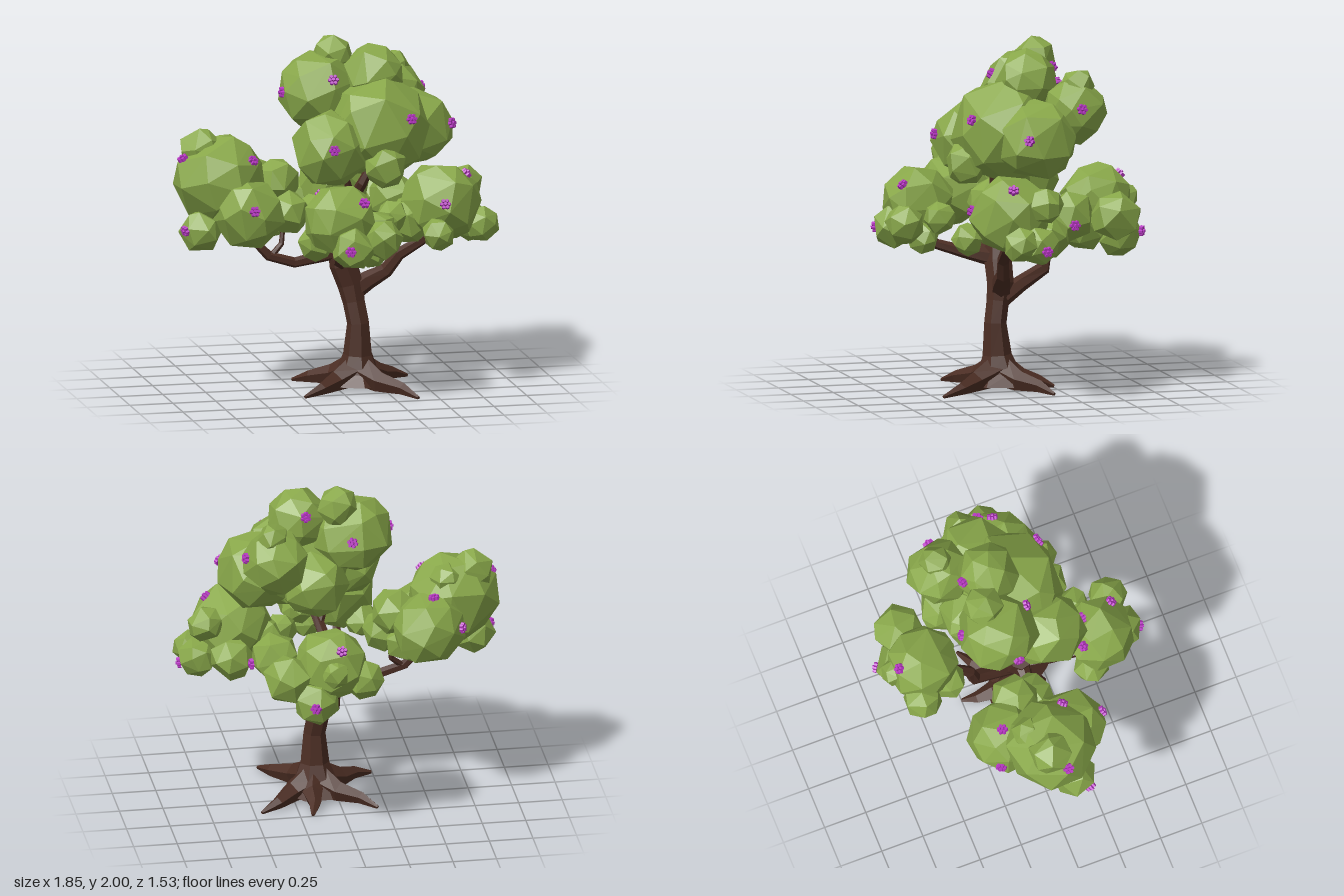
import * as THREE from 'three';
import { mergeGeometries } from 'three/addons/utils/BufferGeometryUtils.js';
import { ConvexGeometry } from 'three/addons/geometries/ConvexGeometry.js';

const bark = new THREE.MeshStandardMaterial({ color: 0x4b2d23, flatShading: true });
bark.name = 'bark brown';
const leaf = new THREE.MeshStandardMaterial({ color: 0x89a84a, flatShading: true });
leaf.name = 'leaf green';
const petal = new THREE.MeshStandardMaterial({ color: 0xb838c4, flatShading: true });
petal.name = 'petal magenta';

// small seeded generator
function seeded(seed) {
  let s = seed * 7919 + 13;
  return () => {
    s = (s * 16807) % 2147483647;
    return s / 2147483647;
  };
}

// tapered limb through rings given as [x, y, z, radius]
function limb(rings, sides = 6) {
  const pts = rings.map((r) => new THREE.Vector3(r[0], r[1], r[2]));
  const n = pts.length;
  const dir = pts[n - 1].clone().sub(pts[0]);
  const ref = Math.abs(dir.y) > Math.hypot(dir.x, dir.z)
    ? new THREE.Vector3(0, 0, 1) : new THREE.Vector3(0, 1, 0);
  const pos = [], idx = [];
  pts.forEach((p, i) => {
    const t = pts[Math.min(i + 1, n - 1)].clone().sub(pts[Math.max(i - 1, 0)]).normalize();
    const u = ref.clone().addScaledVector(t, -ref.dot(t)).normalize();
    const v = t.clone().cross(u);
    for (let j = 0; j < sides; j++) {
      const a = (j / sides) * Math.PI * 2;
      const q = p.clone().addScaledVector(u, Math.cos(a) * rings[i][3]).addScaledVector(v, Math.sin(a) * rings[i][3]);
      pos.push(q.x, Math.max(q.y, 0), q.z);
    }
  });
  for (let j = 0; j < sides; j++) {
    const k = (j + 1) % sides;
    for (let i = 0; i < n - 1; i++) {
      const a = i * sides, b = a + sides;
      idx.push(a + j, a + k, b + k, a + j, b + k, b + j);
    }
    if (j > 0 && j < sides - 1) {
      const e = (n - 1) * sides;
      idx.push(0, k, j, e, e + j, e + k);
    }
  }
  const g = new THREE.BufferGeometry();
  g.setAttribute('position', new THREE.Float32BufferAttribute(pos, 3));
  g.setIndex(idx);
  const flat = g.toNonIndexed();
  flat.computeVertexNormals();
  return flat;
}

// irregular leaf ball with broad facets
function leafBall(x, y, z, r, seed) {
  const rand = seeded(seed);
  const count = r > 0.15 ? 26 : 18;
  const pts = [];
  for (let i = 0; i < count; i++) {
    const h = 1 - (2 * i + 1) / count;
    const a = i * 2.39996;
    const w = Math.sqrt(1 - h * h);
    const p = new THREE.Vector3(w * Math.cos(a), h, w * Math.sin(a));
    p.x += (rand() - 0.5) * 0.3;
    p.y += (rand() - 0.5) * 0.3;
    p.z += (rand() - 0.5) * 0.3;
    pts.push(p.setLength(1.03 + rand() * 0.07));
  }
  return new ConvexGeometry(pts).rotateX(rand() * 6).rotateY(rand() * 6).scale(r, r, r).translate(x, y, z);
}

// each cluster: leaf balls [x, y, z, r], then flowers [x, y, z, ball index]
const clusters = {
  crownFoliage: {
    balls: [[0.23, 1.5, 0.06, 0.29], [-0.07, 1.69, -0.13, 0.22], [0.4, 1.62, -0.3, 0.18],
      [0.47, 1.47, -0.06, 0.22], [-0.07, 1.41, 0.17, 0.21], [0.24, 1.78, -0.07, 0.17],
      [0.03, 1.88, -0.18, 0.115], [0.23, 1.32, 0.28, 0.12], [0.42, 1.77, -0.32, 0.09], [0.16, 1.42, -0.18, 0.19]],
    flowers: [[0.385, 1.59, 0.3, 0], [-0.02, 1.785, 0.06, 1], [-0.29, 1.7, -0.08, 1], [0.56, 1.65, -0.3, 2],
      [0.68, 1.5, 0.04, 3], [-0.09, 1.445, 0.38, 4], [0.22, 1.85, -0.23, 5], [-0.03, 1.72, -0.36, 1]],
  },
  rightFoliage: {
    balls: [[-0.66, 1.22, -0.04, 0.25], [-0.53, 1.06, 0.13, 0.2], [-0.48, 1.12, -0.25, 0.2],
      [-0.79, 0.95, 0.06, 0.12], [-0.76, 1.39, -0.08, 0.12], [-0.6, 1.37, -0.15, 0.09],
      [-0.31, 1.18, -0.12, 0.13], [-0.27, 1.02, 0, 0.12], [-0.38, 0.98, -0.1, 0.12]],
    flowers: [[-0.495, 1.35, 0.1, 0], [-0.865, 1.345, -0.015, 0], [-0.54, 1.1, 0.32, 1],
      [-0.51, 1.3, -0.27, 2], [-0.67, 1.15, -0.34, 2], [-0.9, 0.97, 0.12, 3]],
  },
  frontFoliage: {
    balls: [[-0.08, 1.06, 0.48, 0.2], [0.14, 0.97, 0.62, 0.11], [-0.04, 0.93, 0.63, 0.12],
      [0.16, 1.0, 0.42, 0.09], [-0.2, 0.92, 0.39, 0.1], [0.1, 0.88, 0.5, 0.09]],
    flowers: [[0.045, 1.19, 0.61, 0], [-0.08, 0.93, 0.74, 2], [-0.17, 1.2, 0.35, 0]],
  },
  leftFoliage: {
    balls: [[0.59, 1.07, 0.13, 0.22], [0.8, 0.92, 0.02, 0.11], [0.82, 0.93, 0.13, 0.1],
      [0.76, 1.14, -0.03, 0.1], [0.52, 0.93, 0.36, 0.09], [0.42, 0.97, 0.1, 0.13],
      [0.4, 1.02, -0.28, 0.14], [0.62, 0.94, -0.08, 0.12], [0.3, 1.0, 0.15, 0.09]],
    flowers: [[0.56, 1.1, 0.37, 0], [0.73, 1.23, 0.15, 0], [0.9, 0.9, 0, 1], [0.52, 0.985, -0.27, 6]],
  },
  backFoliage: {
    balls: [[0.12, 1.06, -0.52, 0.2], [0.37, 1.0, -0.56, 0.14], [-0.06, 0.98, -0.58, 0.11],
      [0.22, 0.88, -0.62, 0.13], [0.12, 1.07, -0.68, 0.08], [0.2, 0.92, -0.42, 0.13], [0.0, 0.95, -0.4, 0.1]],
    flowers: [[0.09, 1.165, -0.63, 0], [0.24, 0.89, -0.75, 3]],
  },
};

// six round petals about a raised middle
function blossom() {
  const disc = (r, h) => new THREE.CylinderGeometry(r * 0.8, r, h, 6).rotateX(Math.PI / 2);
  const parts = [disc(0.012, 0.026).translate(0, 0, 0.009)];
  for (let i = 0; i < 6; i++) {
    const a = (i / 6) * Math.PI * 2;
    parts.push(disc(0.012, 0.02).translate(Math.cos(a) * 0.021, Math.sin(a) * 0.021, 0.004));
  }
  return mergeGeometries(parts);
}

export function createModel() {
  const tree = new THREE.Group();
  tree.name = 'floweringTree';
  const add = (name, geo, mat, parent = tree) => {
    const m = new THREE.Mesh(geo, mat);
    m.name = name;
    parent.add(m);
    return m;
  };

  // trunk with flared foot
  add('trunk', limb([[0.12, 0.03, 0.06, 0.18], [0.12, 0.1, 0.06, 0.125], [0.12, 0.2, 0.07, 0.085],
    [0.12, 0.38, 0.08, 0.065], [0.1, 0.5, 0.06, 0.065], [0.085, 0.6, 0.04, 0.078],
    [0.04, 0.72, 0.04, 0.08], [0.01, 0.84, 0.04, 0.06]], 7), bark);

  // roots running out from the foot
  const roots = new THREE.Group();
  roots.name = 'roots';
  tree.add(roots);
  for (const [x, z] of [[-0.24, 0.29], [0.38, 0.46], [0.46, -0.17], [0.18, -0.25], [-0.2, -0.2]]) {
    const at = (f, y, r, side) => [0.12 + (x - 0.12) * f - (z - 0.06) * side, y, 0.06 + (z - 0.06) * f + (x - 0.12) * side, r];
    add('root', limb([at(0.1, 0.1, 0.09, 0), at(0.4, 0.06, 0.06, 0.03), at(0.72, 0.04, 0.036, -0.03),
      at(1, 0.01, 0.01, 0)], 5), bark, roots);
  }

  // branches and twigs
  const branches = new THREE.Group();
  branches.name = 'branches';
  tree.add(branches);
  [
    [[0.04, 0.8, 0.04, 0.045], [-0.07, 0.77, 0.04, 0.036], [-0.24, 0.735, 0.03, 0.03], [-0.39, 0.78, 0.03, 0.028], [-0.52, 0.92, 0.02, 0.02]],
    [[-0.38, 0.775, 0.03, 0.02], [-0.31, 0.84, 0, 0.016], [-0.29, 0.98, -0.02, 0.012]],
    [[0.03, 0.74, 0.06, 0.055], [-0.02, 0.775, 0.23, 0.036], [-0.06, 0.82, 0.38, 0.03], [-0.07, 0.93, 0.47, 0.02]],
    [[0.09, 0.55, 0.04, 0.06], [0.18, 0.62, 0.06, 0.055], [0.28, 0.675, 0.08, 0.042], [0.35, 0.77, 0.1, 0.036], [0.48, 0.85, 0.12, 0.03], [0.6, 0.97, 0.13, 0.018]],
    [[0.1, 0.52, 0.03, 0.055], [0.08, 0.59, -0.08, 0.047], [0.06, 0.67, -0.22, 0.042], [0.05, 0.82, -0.25, 0.033], [0.08, 0.98, -0.4, 0.02]],
    [[0.03, 0.76, 0.04, 0.055], [0.07, 0.92, -0.06, 0.042], [0.08, 1.02, -0.03, 0.035], [0.14, 1.19, 0.09, 0.03], [0.22, 1.36, 0.12, 0.018]],
    [[0.1, 1.08, 0.01, 0.024], [0.06, 1.2, 0.04, 0.02], [0.0, 1.35, 0.1, 0.014]],
  ].forEach((rings) => add('branch', limb(rings), bark, branches));

  // leaf clusters with flowers seated on their surface
  const flowerShape = blossom();
  const ray = new THREE.Raycaster();
  const zAxis = new THREE.Vector3(0, 0, 1);
  let seed = 1;
  for (const [name, { balls, flowers }] of Object.entries(clusters)) {
    const group = new THREE.Group();
    group.name = name;
    tree.add(group);
    const meshes = balls.map((b) => add('leafBall', leafBall(...b, seed++), leaf, group));
    for (const [x, y, z, k] of flowers) {
      const c = new THREE.Vector3(...balls[k].slice(0, 3));
      const out = new THREE.Vector3(x, y, z).sub(c).normalize();
      ray.set(c.clone().addScaledVector(out, 0.6), out.clone().negate());
      const { point, face } = ray.intersectObjects(meshes)[0];
      const flower = add('flower', flowerShape, petal, group);
      flower.position.copy(point).addScaledVector(face.normal, 0.006);
      flower.quaternion.setFromUnitVectors(zAxis, face.normal);
    }
  }
  return tree;
}
